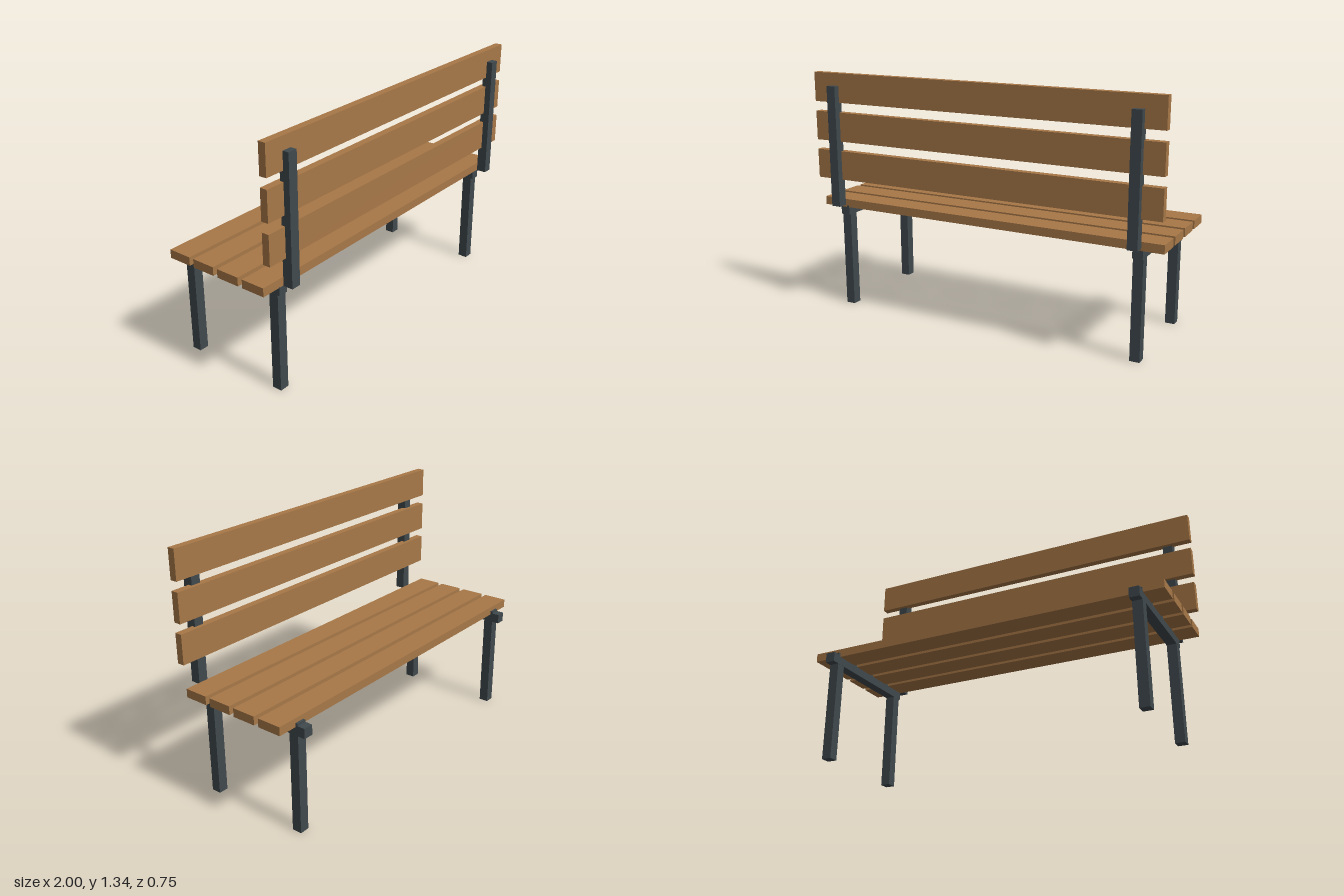
import * as THREE from 'three';

export function createModel() {
  const bench = new THREE.Group();
  bench.name = 'bench';
  const wood = new THREE.MeshStandardMaterial({ color: 0xa87848 });
  wood.name = 'brown wood';
  const metal = new THREE.MeshStandardMaterial({ color: 0x40494d });
  metal.name = 'dark grey metal';

  // Box from its centre x, width, and y and z ranges
  function bar(name, material, x, width, [y0, y1], [z0, z1]) {
    const mesh = new THREE.Mesh(new THREE.BoxGeometry(width, y1 - y0, z1 - z0), material);
    mesh.position.set(x, (y0 + y1) / 2, (z0 + z1) / 2);
    mesh.name = name;
    bench.add(mesh);
  }

  // Four seat slats
  for (let i = 0; i < 4; i++) {
    const z = -0.32 + i * 0.16;
    bar('seatSlat' + (i + 1), wood, 0, 2, [0.579, 0.625], [z, z + 0.133]);
  }

  // Three backrest slats
  for (let i = 0; i < 3; i++) {
    const y = 0.748 + i * 0.2135;
    bar('backSlat' + (i + 1), wood, 0, 2, [y, y + 0.16], [0.3, 0.34]);
  }

  // Side frames: two legs, a rail under the seat and a backrest post
  for (const [side, x] of [['left', 0.867], ['right', -0.867]]) {
    bar(side + 'LegA', metal, x, 0.053, [0, 0.6], [0.228, 0.281]);
    bar(side + 'LegB', metal, x, 0.053, [0, 0.6], [-0.333, -0.28]);
    bar(side + 'SeatRail', metal, x, 0.0535, [0.535, 0.588], [-0.374, 0.293]);
    bar(side + 'BackPost', metal, x, 0.053, [0.6, 1.267], [0.32, 0.374]);
  }
  return bench;
}
